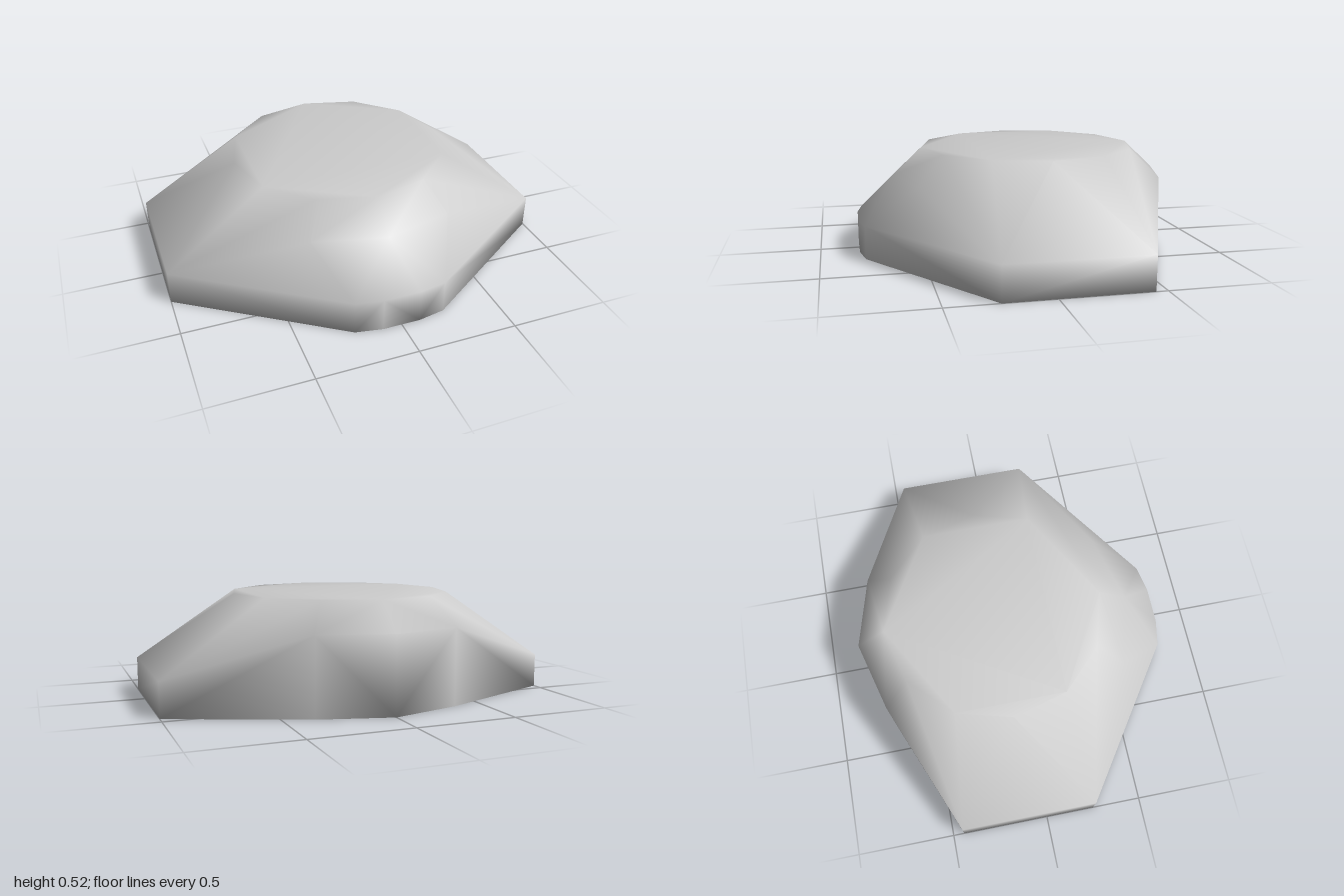
import * as THREE from 'three';
import { ConvexGeometry } from 'three/addons/geometries/ConvexGeometry.js';
import { mergeVertices } from 'three/addons/utils/BufferGeometryUtils.js';

const CENTRE_Z = -0.093;

// Twelve-sided ring at height y
function ring(radius, y) {
  return Array.from({ length: 12 }, (_, i) => {
    const a = (i * Math.PI) / 6;
    return new THREE.Vector3(radius * Math.sin(a), y, CENTRE_Z + radius * Math.cos(a));
  });
}

export function createModel() {
  const group = new THREE.Group();
  group.name = 'smoothStone';
  const grey = new THREE.MeshStandardMaterial({ color: 0xcccccc });
  grey.name = 'light grey';

  // Round core with a bevelled flat top
  const points = [...ring(0.712, 0), ...ring(0.712, 0.38), ...ring(0.56, 0.52)];

  // Low rim: wide sides and a blunt front, mirrored left and right
  const rim = [[1, -0.443], [1, 0.25], [0.23, 0.778], [0.095, 0.803]];
  for (const side of [-1, 1]) {
    for (const [x, z] of rim) {
      for (const y of [0, 0.17]) points.push(new THREE.Vector3(side * x, y, z));
    }
  }

  // Wrap the sections in one closed skin with shared, smooth normals
  let skin = new ConvexGeometry(points);
  skin.deleteAttribute('normal');
  skin = mergeVertices(skin, 1e-4);
  skin.computeVertexNormals();

  const body = new THREE.Mesh(skin, grey);
  body.name = 'body';
  group.add(body);
  return group;
}
